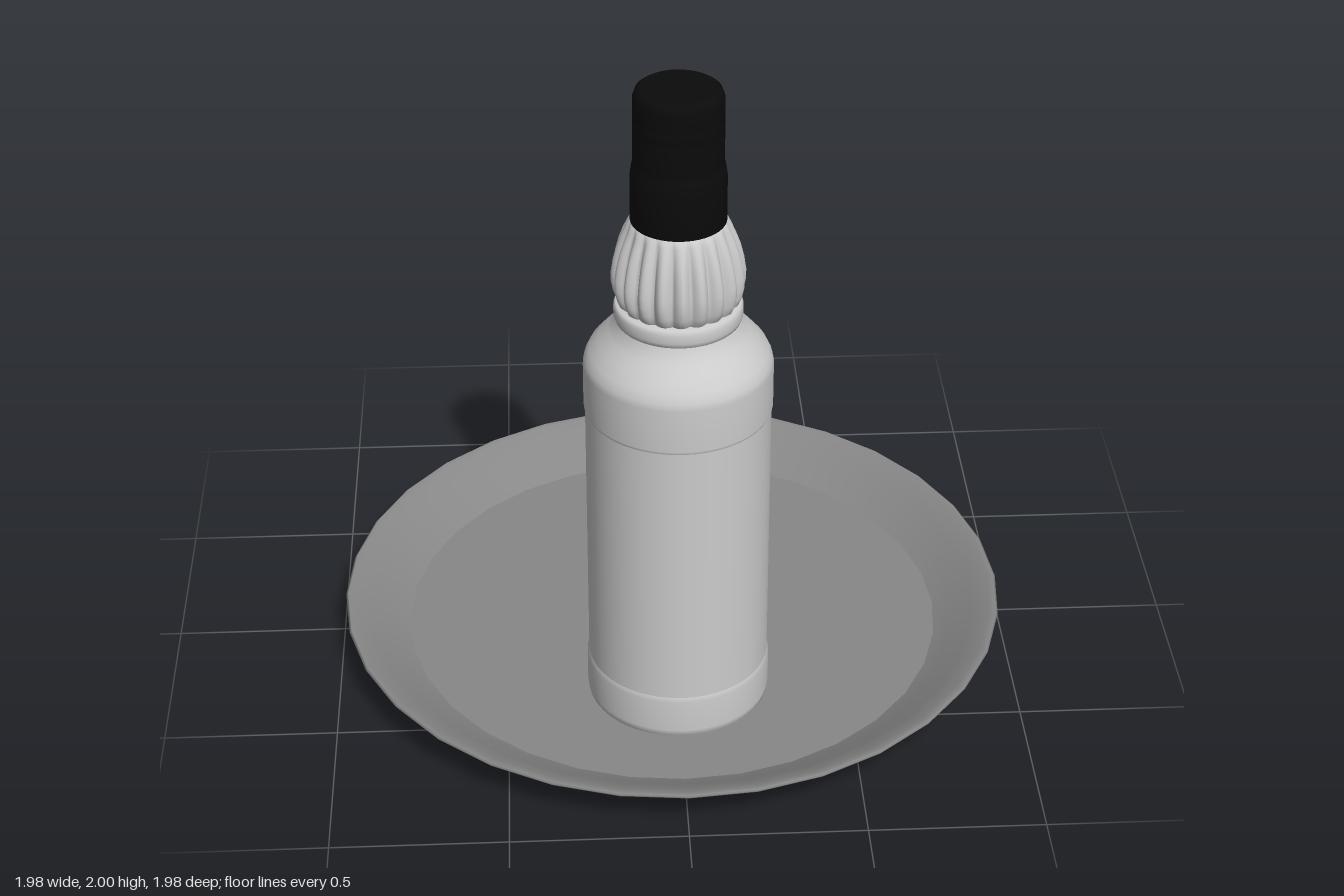
import * as THREE from 'three';

const grey = new THREE.MeshStandardMaterial({ color: 0xcccccc });
const trayGrey = new THREE.MeshStandardMaterial({ color: 0x888888 });
const black = new THREE.MeshStandardMaterial({ color: 0x0b0b0b });
const amber = new THREE.MeshStandardMaterial({ color: 0xcc6a1a });

function add(parent, name, geometry, material = grey) {
  const mesh = new THREE.Mesh(geometry, material);
  mesh.name = name;
  parent.add(mesh);
  return mesh;
}

// Turned part from [radius, height] pairs, listed from the bottom up the outside
function turned(points, segments = 48) {
  return new THREE.LatheGeometry(points.map(([r, y]) => new THREE.Vector2(r, y)), segments);
}

function createTray() {
  const tray = new THREE.Group();
  tray.name = 'tray';
  add(tray, 'trayUnderside', turned([
    [0, 0], [0.8, 0], [0.84, 0.004], [0.865, 0.025], [0.9, 0.06], [0.94, 0.092], [0.985, 0.123], [0.99, 0.13], [0.984, 0.135],
  ], 32), trayGrey);
  add(tray, 'trayRim', turned([
    [0.984, 0.135], [0.965, 0.134], [0.91, 0.105], [0.85, 0.065], [0.8, 0.038],
  ], 32), trayGrey);
  add(tray, 'trayFloor', turned([[0.8, 0.038], [0, 0.038]], 32), trayGrey);
  return tray;
}

// Bulging neck with vertical ribs, made by pushing the turned surface in and out
function ribbedNeck() {
  const profile = [
    [0.15, 1.35], [0.168, 1.365], [0.178, 1.39], [0.184, 1.42], [0.184, 1.45], [0.178, 1.49],
    [0.168, 1.53], [0.155, 1.565], [0.143, 1.59], [0.132, 1.61], [0.12, 1.615],
  ];
  const ribs = 20;
  const geometry = turned(profile, ribs * 8);
  const p = geometry.attributes.position;
  for (let i = 0; i < p.count; i++) {
    const x = p.getX(i), z = p.getZ(i);
    const fade = Math.sin(Math.PI * THREE.MathUtils.clamp((p.getY(i) - 1.34) / 0.27, 0, 1));
    const wave = Math.abs(Math.cos(Math.atan2(x, z) * ribs / 2));
    const k = 1 - 0.13 * Math.sqrt(fade) * (1 - wave);
    p.setX(i, x * k);
    p.setZ(i, z * k);
  }
  geometry.computeVertexNormals();
  return geometry;
}

function createBottle() {
  const bottle = new THREE.Group();
  bottle.name = 'bottle';
  add(bottle, 'bottleBase', turned([
    [0, 0.04], [0.25, 0.04], [0.262, 0.05], [0.265, 0.07], [0.265, 0.17], [0.26, 0.185],
  ]));
  add(bottle, 'label', turned([[0.26, 0.183], [0.26, 1.022]]));
  add(bottle, 'shoulder', turned([
    [0.26, 1.02], [0.264, 1.03], [0.264, 1.16], [0.26, 1.18], [0.248, 1.205], [0.222, 1.236],
    [0.195, 1.265], [0.18, 1.285], [0.172, 1.305],
  ]));
  add(bottle, 'neckRing', turned([
    [0.166, 1.3], [0.174, 1.307], [0.178, 1.32], [0.178, 1.345], [0.172, 1.357], [0.14, 1.36],
  ]));
  add(bottle, 'ribbedNeck', ribbedNeck());
  add(bottle, 'cap', turned([
    [0.11, 1.6], [0.131, 1.601], [0.131, 1.74], [0.126, 1.775], [0.12, 1.783], [0.123, 1.792],
    [0.123, 1.875], [0.119, 1.882], [0.123, 1.89], [0.123, 1.915], [0.119, 1.922], [0.123, 1.93],
    [0.122, 1.975], [0.116, 1.992], [0.105, 2],
  ]), black);
  add(bottle, 'capTop', turned([[0.105, 2], [0, 2]]), black);
  bottle.position.z = 0.36;
  return bottle;
}

function createGlass() {
  const glass = new THREE.Group();
  glass.name = 'glass';
  add(glass, 'glassWall', turned([
    [0, 0.04], [0.185, 0.04], [0.197, 0.05], [0.198, 0.07], [0.198, 0.5], [0.194, 0.511], [0.187, 0.515],
    [0.178, 0.511], [0.172, 0.5], [0.158, 0.1], [0.15, 0.09], [0, 0.09],
  ]));
  // Drink surface, resting against the inner wall
  add(glass, 'drink', turned([[0.158, 0.1], [0.164, 0.25], [0, 0.25]])).material = amber;
  // Two tilted ice cubes breaking the surface
  const cubes = [
    { at: [0.075, 0.255, 0.025], tilt: [0.12, -0.35, -0.4] },
    { at: [-0.055, 0.235, -0.065], tilt: [0.75, 0.3, 0.6] },
  ];
  for (const { at, tilt } of cubes) {
    const cube = add(glass, 'iceCube', new THREE.BoxGeometry(0.105, 0.105, 0.105));
    cube.position.set(...at);
    cube.rotation.set(...tilt);
  }
  glass.position.z = -0.47;
  return glass;
}

export function createModel() {
  const model = new THREE.Group();
  model.name = 'servedDrink';
  model.add(createTray(), createBottle(), createGlass());
  return model;
}
